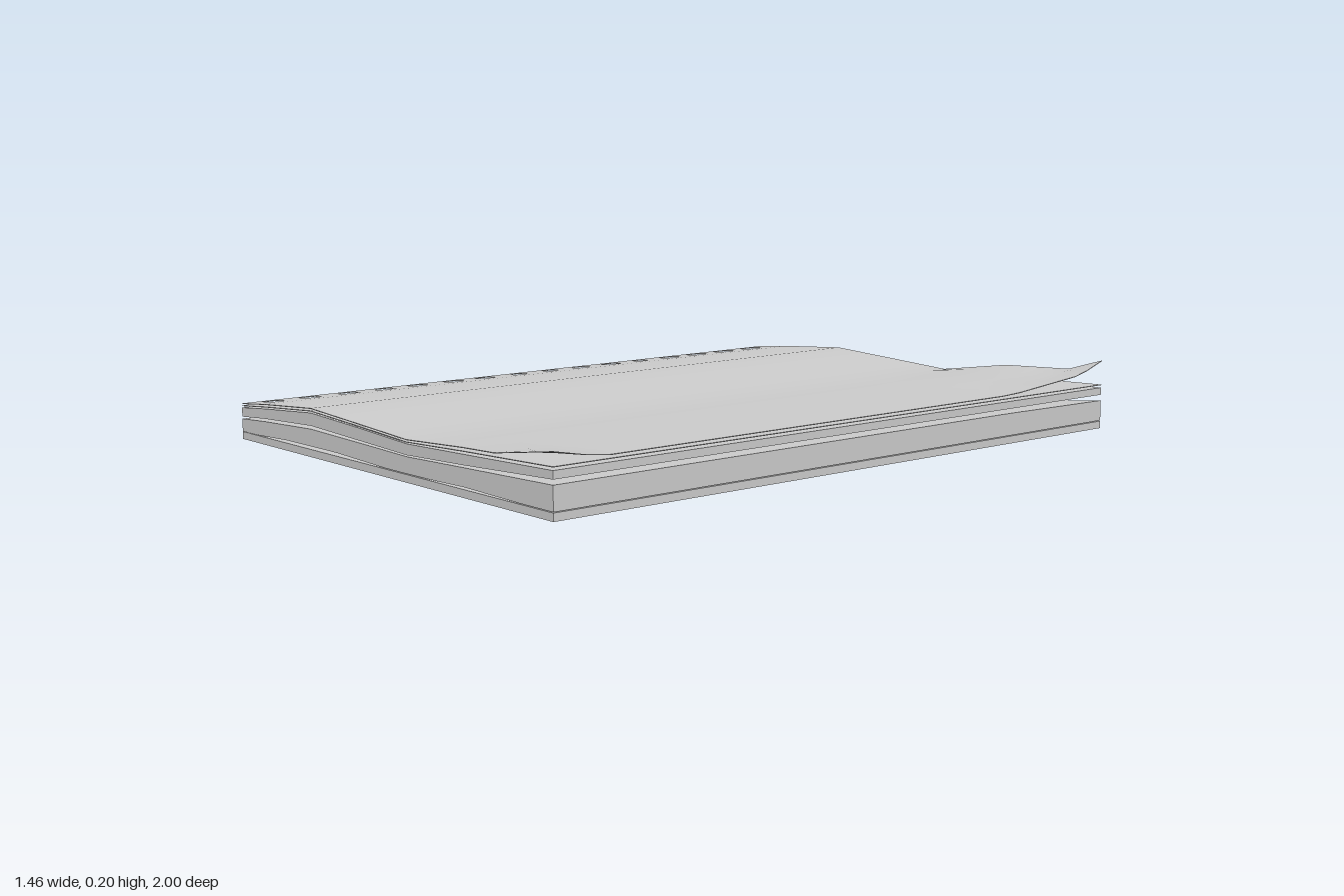
import * as THREE from 'three';
import { toCreasedNormals } from 'three/addons/utils/BufferGeometryUtils.js';

const HALF_W = 0.732, HOLES = 16, HOLE_X = [-0.705, -0.652];

// Grid lines: hole edges plus the stations where the paper bends
const xs = [-HALF_W, ...HOLE_X, -0.6, -0.48, -0.35, -0.22, -0.1, 0.02, 0.12, 0.25, 0.37, 0.5, 0.61, 0.67, HALF_W];
const zs = [-1, -0.96];
for (let i = 0; i < HOLES; i++) {
  const z = -0.906 + i * 0.1224;
  zs.push(z - 0.026, z + 0.026);
}
zs.push(0.98, 1);

// Piecewise linear curve through [position, value] points
function curve(points) {
  return (t) => {
    if (t <= points[0][0]) return points[0][1];
    for (let i = 1; i < points.length; i++) {
      const [t0, v0] = points[i - 1], [t1, v1] = points[i];
      if (t <= t1) return v0 + ((v1 - v0) * (t - t0)) / (t1 - t0);
    }
    return points[points.length - 1][1];
  };
}

// Heights across the width, at the shared bend stations
const stations = [-HALF_W, -0.6, -0.35, -0.1, 0.12, 0.37, HALF_W];
const wave = (...heights) => curve(stations.map((x, i) => [x, heights[i]]));

const isHole = (i, j) => i === 1 && j >= 2 && j < 2 + HOLES * 2 && j % 2 === 0;
const isSolid = (i, j) => i >= 0 && j >= 0 && i < xs.length - 1 && j < zs.length - 1 && !isHole(i, j);

// Punched slab of paper between two height functions of (x, z)
function paper(name, bottom, top) {
  const pos = [];
  const quad = (a, b, c, d) => pos.push(...a, ...b, ...c, ...a, ...c, ...d);
  const up = ([x, z]) => [x, top(x, z), z];
  const down = ([x, z]) => [x, bottom(x, z), z];
  const neighbours = [[-1, 0], [0, 1], [1, 0], [0, -1]];
  for (let i = 0; i < xs.length - 1; i++) {
    for (let j = 0; j < zs.length - 1; j++) {
      if (!isSolid(i, j)) continue;
      const c = [[xs[i], zs[j]], [xs[i], zs[j + 1]], [xs[i + 1], zs[j + 1]], [xs[i + 1], zs[j]]];
      quad(...c.map(up));
      quad(...c.map(down).reverse());
      // Walls on the outline and inside the holes
      neighbours.forEach(([di, dj], k) => {
        if (isSolid(i + di, j + dj)) return;
        const p = c[k], q = c[(k + 1) % 4];
        quad(up(p), down(p), down(q), up(q));
      });
    }
  }
  const geometry = new THREE.BufferGeometry();
  geometry.setAttribute('position', new THREE.Float32BufferAttribute(pos, 3));
  const mesh = new THREE.Mesh(
    toCreasedNormals(geometry, 0.6),
    new THREE.MeshStandardMaterial({ color: 0xcccccc, side: THREE.DoubleSide })
  );
  mesh.name = name;
  return mesh;
}

export function createModel() {
  const group = new THREE.Group();
  group.name = 'punchedPaperStack';

  // Curled corners of the top sheet
  const backX = curve([[0.12, 0], [0.37, 0.4], [0.61, 0.47], [HALF_W, 1]]);
  const backZ = curve([[-1, 0.062], [-0.9, 0.028], [-0.6, 0]]);
  const frontX = curve([[0.5, 0], [HALF_W, 1]]);
  const frontZ = curve([[0.86, 0], [1, 0.027]]);
  const curl = (x, z) => backX(x) * backZ(z) + frontX(x) * frontZ(z);

  // Sag of the lower pages along the back edge
  const sagX = curve([[0.02, 0], [0.37, 0.018], [0.61, 0.014], [HALF_W, 0.004]]);
  const sagZ = curve([[-1, 1], [-0.6, 0]]);
  const sag = (x, z) => sagX(x) * sagZ(z);

  // Flat bottom stack
  group.add(paper('bottomStack', () => 0, () => 0.021));

  // Lower stack, arched slightly off the bottom one
  const lowerBottom = curve([[-0.65, 0.022], [-0.48, 0.029], [-0.22, 0.03], [0.02, 0.023],
    [0.2, 0.023], [0.37, 0.027], [0.61, 0.023]]);
  const lowerTop = wave(0.058, 0.066, 0.077, 0.072, 0.067, 0.075, 0.086);
  group.add(paper('lowerStack', lowerBottom, (x, z) => lowerTop(x) - sag(x, z)));

  // Wavy upper stack
  const upperBottom = wave(0.064, 0.074, 0.086, 0.078, 0.071, 0.081, 0.099);
  const upperTop = wave(0.09, 0.102, 0.121, 0.111, 0.1, 0.108, 0.12);
  group.add(paper('upperStack', upperBottom, upperTop));

  // Loose sheets on top, the last with curled corners
  const looseTop = wave(0.096, 0.108, 0.127, 0.116, 0.105, 0.116, 0.129);
  group.add(paper('looseSheet', (x) => looseTop(x) - 0.002, looseTop));
  const coverTop = wave(0.102, 0.115, 0.134, 0.122, 0.111, 0.125, 0.138);
  const cover = (x, z) => coverTop(x) + curl(x, z);
  group.add(paper('topSheet', (x, z) => cover(x, z) - 0.002, cover));

  return group;
}
